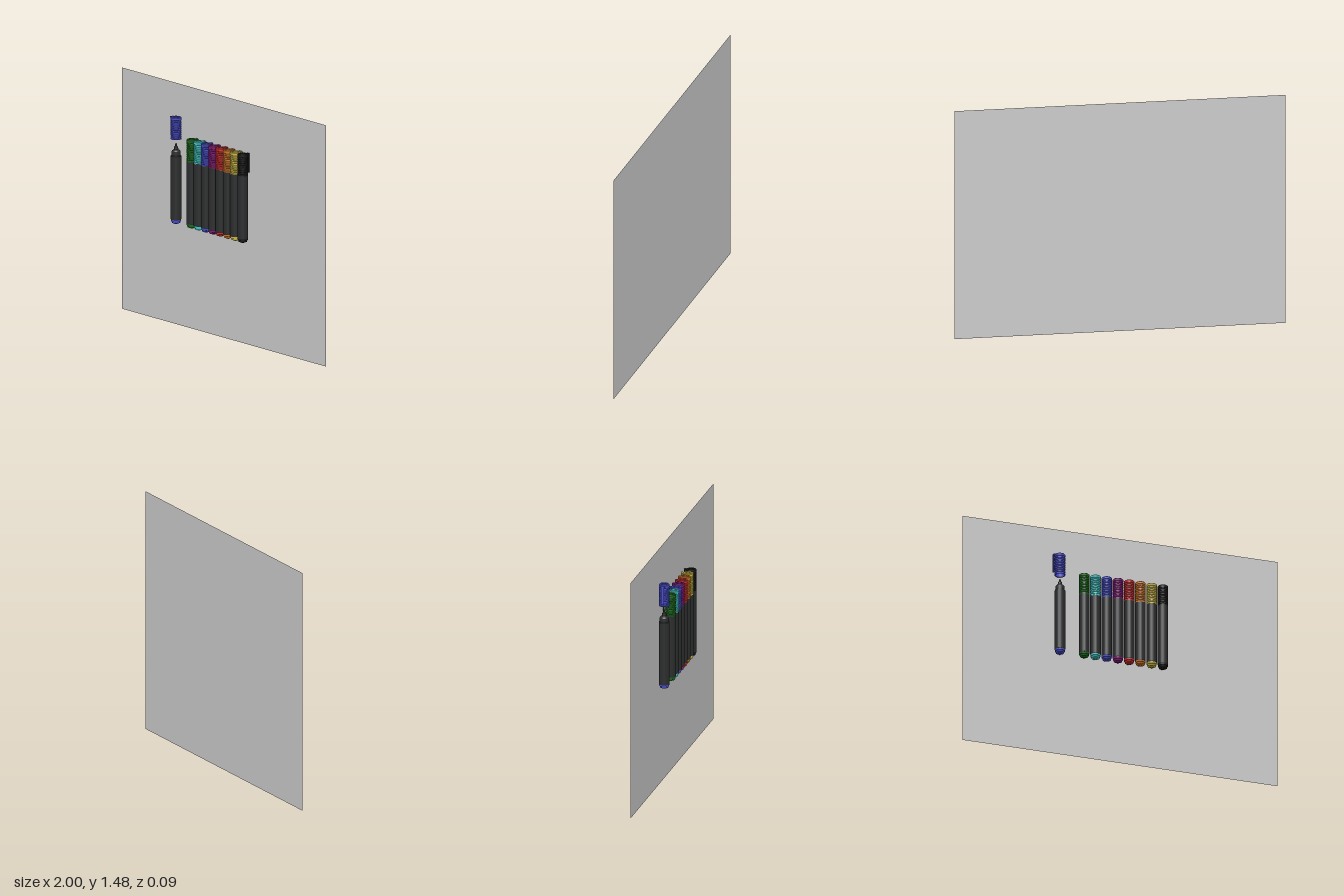
import * as THREE from 'three';

const R = 0.032;       // barrel radius
const CAP_H = 0.137;   // cap height
const Z = 0.011;       // depth of the row of pens
const SIDES = 28;

const paint = (color) => new THREE.MeshStandardMaterial({ color, side: THREE.DoubleSide });
const barrelPaint = paint(0x2b2c2d);

function add(parent, name, geometry, material, x = 0, y = 0, z = 0) {
  const mesh = new THREE.Mesh(geometry, material);
  mesh.name = name;
  mesh.position.set(x, y, z);
  parent.add(mesh);
  return mesh;
}

// Lathe with crisp edges: each profile point is [radius, height]
function turned(points) {
  const profile = points.map(([r, y]) => new THREE.Vector2(r, y));
  const crisp = profile.flatMap((p, i) => (i && i < profile.length - 1 ? [p, p.clone()] : [p]));
  const path = new THREE.LatheGeometry(crisp, SIDES).toNonIndexed();
  path.deleteAttribute('normal');
  path.computeVertexNormals();
  return path;
}

// Hollow ribbed cap, its open rim at y = 0, with the clip towards -z
function makeCap(material) {
  const cap = new THREE.Group();
  cap.name = 'cap';
  const ribs = 10;
  const profile = [[R - 0.005, CAP_H - 0.012], [R - 0.005, 0], [R, 0], [R, 0.008]];
  const pitch = (CAP_H - 0.02) / ribs;
  for (let i = 0; i < ribs; i++) {
    const y = 0.008 + i * pitch;
    profile.push([R - 0.002, y + pitch * 0.15], [R - 0.002, y + pitch * 0.4],
      [R, y + pitch * 0.55], [R, y + pitch]);
  }
  profile.push([R, CAP_H - 0.004], [R - 0.004, CAP_H], [0.019, CAP_H],
    [0.018, CAP_H - 0.004], [0.012, CAP_H - 0.004], [0.011, CAP_H + 0.003], [0, CAP_H + 0.004]);
  add(cap, 'ribbedCap', turned(profile), material);
  add(cap, 'capInside', new THREE.CircleGeometry(R - 0.005, SIDES).rotateX(Math.PI / 2),
    material, 0, CAP_H - 0.012);

  // Clip: bridge at the top, thin bar, small foot
  add(cap, 'clipBridge', new THREE.BoxGeometry(0.024, 0.007, 0.018), material, 0, CAP_H - 0.006, -0.034);
  add(cap, 'clipBar', new THREE.BoxGeometry(0.02, 0.118, 0.004), material, 0, CAP_H - 0.062, -0.041);
  add(cap, 'clipFoot', new THREE.BoxGeometry(0.016, 0.006, 0.006), material, 0, 0.02, -0.038);
  return cap;
}

// Pen barrel with a coloured end plug, in model heights
function makePen(material, open) {
  const pen = new THREE.Group();
  pen.name = open ? 'openPen' : 'closedPen';
  const barrel = open
    ? [[0, 0.664], [R - 0.001, 0.664], [R, 0.667], [R, 1.055], [R - 0.004, 1.058], [R - 0.005, 1.082],
      [0.023, 1.088], [0.014, 1.095], [0.012, 1.11], [0.006, 1.116], [0, 1.116]]
    : [[0, 0.664], [R - 0.001, 0.664], [R, 0.667], [R, 1.05], [0, 1.05]];
  add(pen, 'barrel', turned(barrel), barrelPaint);
  add(pen, 'endPlug', turned([[0, 0.637], [0.01, 0.637], [0.011, 0.642], [0.025, 0.643],
    [0.027, 0.652], [0.03, 0.654], [0.031, 0.667], [0, 0.667]]), material);
  if (open) {
    add(pen, 'nib', turned([[0.006, 1.11], [0.006, 1.123], [0.003, 1.132], [0, 1.133]]), barrelPaint);
  }
  return pen;
}

export function createModel() {
  const model = new THREE.Group();
  model.name = 'markerSet';

  // Flat backing sheet
  add(model, 'backingSheet', new THREE.PlaneGeometry(2, 1.483), paint(0xcccccc), 0, 0.7415, -0.043);

  // Row of closed pens
  const colors = [0x1b6e1d, 0x45cccc, 0x484dcc, 0x8a1a7d, 0xcf2d2d, 0xd07828, 0xcbb842, 0x1c1c1c];
  colors.forEach((color, i) => {
    const material = paint(color);
    const pen = makePen(material, false);
    const cap = makeCap(material);
    cap.position.y = 1.047;
    pen.add(cap);
    pen.position.set(-0.246 + i * 0.0714, 0, Z);
    model.add(pen);
  });

  // Open pen with its cap floating above, clip turned to the side
  const blue = paint(colors[2]);
  const openPen = makePen(blue, true);
  const cap = makeCap(blue);
  cap.position.y = 1.157;
  cap.rotation.y = Math.PI / 2;
  openPen.add(cap);
  openPen.position.set(-0.4, 0, Z);
  model.add(openPen);

  return model;
}
